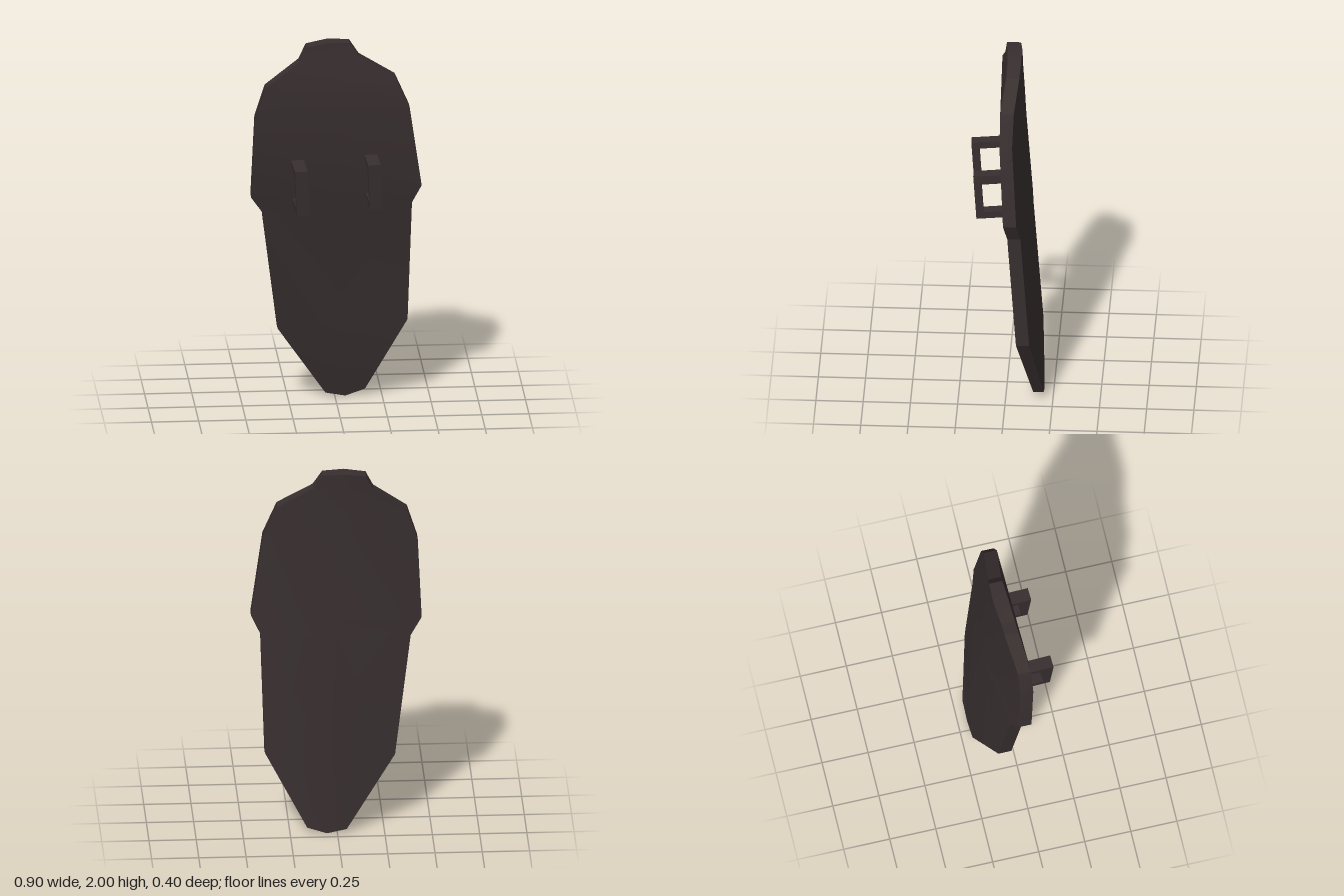
import * as THREE from 'three';
import { toCreasedNormals } from 'three/addons/utils/BufferGeometryUtils.js';

// Rows from top to bottom. Each edge point: x, y, front z, back z. mid: y, back z.
const ROWS = [
  { l: [-0.16, 1.98, 0.01, -0.065], r: [0.07, 1.995, -0.005, -0.077], mid: [2.0, -0.078] },
  { l: [-0.20, 1.90, 0.02, -0.055], r: [0.12, 1.92, 0.0, -0.07], mid: [1.91, -0.082] },
  { l: [-0.38, 1.77, 0.045, -0.025], r: [0.31, 1.81, 0.022, -0.05], mid: [1.79, -0.09] },
  { l: [-0.435, 1.60, 0.045, -0.025], r: [0.385, 1.64, 0.022, -0.045], mid: [1.62, -0.1] },
  { l: [-0.455, 1.16, 0.03, -0.04], r: [0.45, 1.20, 0.0, -0.07], mid: [1.18, -0.135] },
  { l: [-0.395, 1.07, 0.0, -0.07], r: [0.40, 1.10, -0.02, -0.09], mid: [1.09, -0.14] },
  { l: [-0.31, 0.41, -0.045, -0.115], r: [0.38, 0.44, -0.065, -0.135], mid: [0.425, -0.193] },
  { l: [-0.05, 0.02, -0.14, -0.195], r: [0.16, 0.035, -0.145, -0.2], mid: [0.0, -0.2] },
];

function shieldGeometry() {
  const front = [], back = [];
  for (const { l, r, mid } of ROWS) {
    const x = (l[0] + r[0]) / 2;
    front.push([[l[0], l[1], l[2]], [x, mid[0], (l[2] + r[2]) / 2], [r[0], r[1], r[2]]]);
    back.push([[l[0], l[1], l[3]], [x, mid[0], mid[1]], [r[0], r[1], r[3]]]);
  }
  const pos = [];
  const quad = (a, b, c, d) => pos.push(...a, ...b, ...c, ...a, ...c, ...d);
  const n = ROWS.length - 1;

  // flat inner face and bowed outer face
  for (let i = 0; i < n; i++) {
    for (let j = 0; j < 2; j++) {
      quad(front[i][j], front[i + 1][j], front[i + 1][j + 1], front[i][j + 1]);
      quad(back[i][j + 1], back[i + 1][j + 1], back[i + 1][j], back[i][j]);
    }
  }

  // rim: down one side, round the point, up the other, over the top
  const loop = [];
  for (let i = 0; i <= n; i++) loop.push([i, 0]);
  loop.push([n, 1]);
  for (let i = n; i >= 0; i--) loop.push([i, 2]);
  loop.push([0, 1]);
  loop.forEach(([i, j], k) => {
    const [u, v] = loop[(k + 1) % loop.length];
    quad(front[i][j], back[i][j], back[u][v], front[u][v]);
  });

  const geo = new THREE.BufferGeometry();
  geo.setAttribute('position', new THREE.Float32BufferAttribute(pos, 3));
  return toCreasedNormals(geo, 0.35);
}

function makeHandle(name, x, y, z, material) {
  const handle = new THREE.Group();
  handle.name = name;
  const add = (part, w, h, d, py, pz) => {
    const mesh = new THREE.Mesh(new THREE.BoxGeometry(w, h, d), material);
    mesh.name = part;
    mesh.position.set(0, py, pz);
    handle.add(mesh);
  };
  // upright grip and two arms back to the shield
  add('grip', 0.067, 0.25, 0.04, 0, 0);
  add('upperArm', 0.067, 0.036, 0.17, 0.107, -0.1);
  add('lowerArm', 0.067, 0.036, 0.17, -0.107, -0.1);
  handle.position.set(x, y, z);
  handle.rotation.set(0.067, 0.05, 0.045);
  return handle;
}

export function createModel() {
  const model = new THREE.Group();
  model.name = 'shield';
  const darkBrown = new THREE.MeshStandardMaterial({ color: 0x382f2f });
  darkBrown.name = 'darkBrown';

  const plate = new THREE.Mesh(shieldGeometry(), darkBrown);
  plate.name = 'shieldPlate';
  model.add(plate);

  model.add(makeHandle('rightHandle', -0.197, 1.228, 0.172, darkBrown));
  model.add(makeHandle('leftHandle', 0.192, 1.247, 0.142, darkBrown));
  return model;
}
